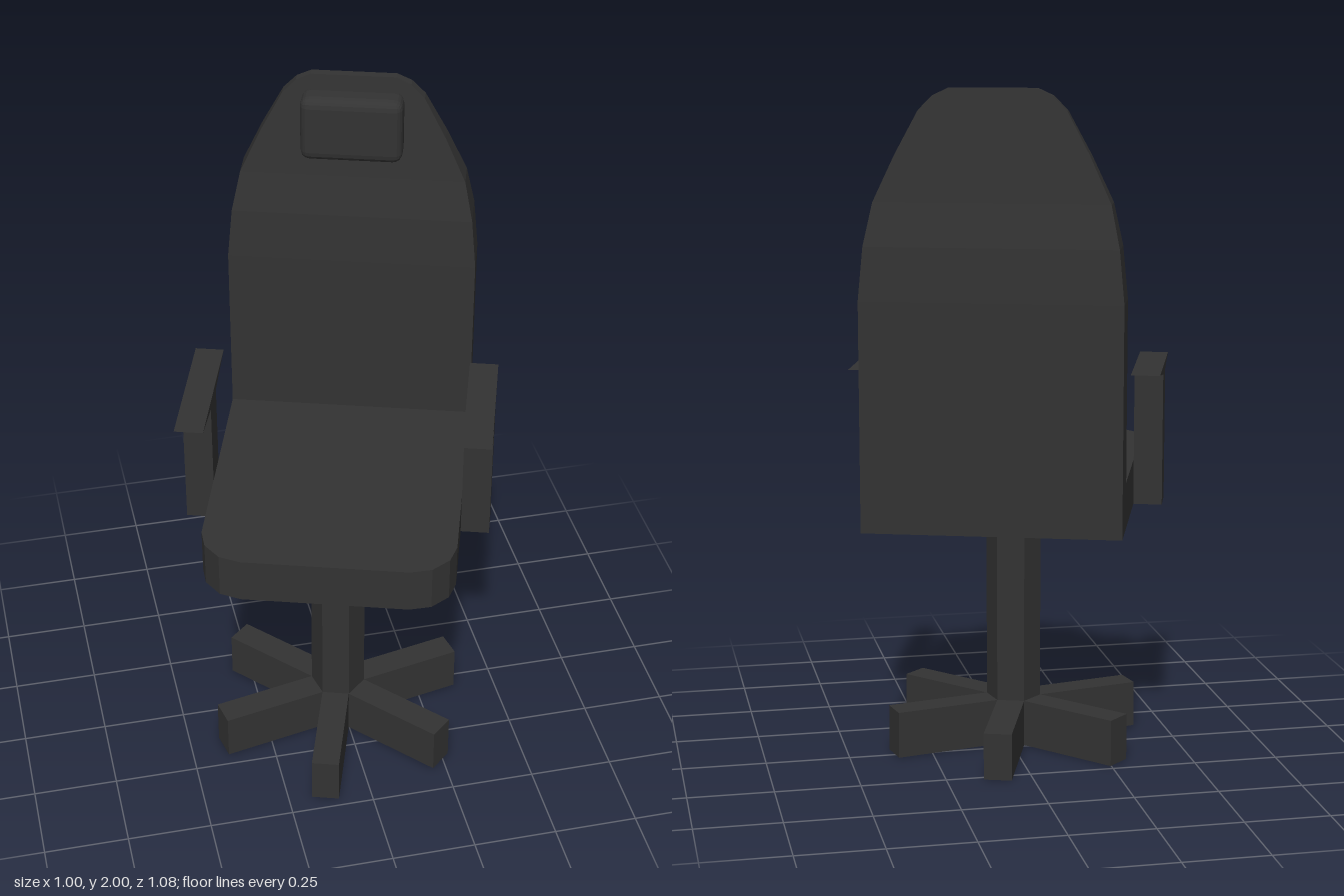
import * as THREE from 'three';
import { RoundedBoxGeometry } from 'three/addons/geometries/RoundedBoxGeometry.js';
import { ConvexGeometry } from 'three/addons/geometries/ConvexGeometry.js';

const HALF = 0.367;        // half width of seat and backrest
const BACK = -0.452;       // rear plane of the backrest
const BACK_FRONT = -0.315; // front plane of the backrest
const POLE_Z = 0.091, POLE_R = 0.082;
const SEAT_LOW = 0.765, SEAT_TOP = 0.9;

// Backrest cross-sections: height, half width, thickness
const BACK_LEVELS = [
  [SEAT_LOW, HALF, 0.137], [1.42, HALF, 0.137], [1.57, 0.353, 0.127],
  [1.69, 0.328, 0.087], [1.82, 0.268, 0.058], [1.94, 0.204, 0.036],
  [1.98, 0.165, 0.03], [2.0, 0.122, 0.026],
];

// Seat outline, one half from the front to the rear
const SEAT_SIDE = [[0.241, 0.484], [0.303, 0.466], [0.35, 0.418], [HALF, 0.358]];

// Skin over stacked rectangles, capped at both ends
function loftLevels(levels, zMid) {
  const rings = levels.map(([y, w, t]) => [
    [-w, y, zMid + t / 2], [w, y, zMid + t / 2], [w, y, zMid - t / 2], [-w, y, zMid - t / 2],
  ]);
  const pos = [];
  const quad = (a, b, c, d) => pos.push(...a, ...b, ...c, ...a, ...c, ...d);
  for (let i = 0; i < rings.length - 1; i++) {
    const lo = rings[i], hi = rings[i + 1];
    for (let j = 0; j < 4; j++) {
      const k = (j + 1) % 4;
      quad(lo[j], lo[k], hi[k], hi[j]);
    }
  }
  const bottom = rings[0], top = rings[rings.length - 1];
  quad(bottom[3], bottom[2], bottom[1], bottom[0]);
  quad(top[0], top[1], top[2], top[3]);
  const geo = new THREE.BufferGeometry();
  geo.setAttribute('position', new THREE.Float32BufferAttribute(pos, 3));
  geo.computeVertexNormals();
  return geo;
}

export function createModel() {
  const model = new THREE.Group();
  model.name = 'officeChair';
  const chair = new THREE.Group();
  chair.name = 'turnedChair';
  chair.rotation.y = THREE.MathUtils.degToRad(-18.2);
  chair.position.set(0.01, 0, 0.003);
  model.add(chair);

  const dark = new THREE.MeshStandardMaterial({ color: 0x333333, flatShading: true });
  const add = (name, geo, parent = chair) => {
    const mesh = new THREE.Mesh(geo, dark);
    mesh.name = name;
    parent.add(mesh);
    return mesh;
  };

  // Seat cushion with clipped front corners
  const rightSide = [...SEAT_SIDE, [HALF, BACK_FRONT]];
  const outline = [...rightSide, ...rightSide.map(([x, z]) => [-x, z]).reverse()];
  const seatShape = new THREE.Shape(outline.map(([x, z]) => new THREE.Vector2(x, -z)));
  const seatGeo = new THREE.ExtrudeGeometry(seatShape, { depth: SEAT_TOP - SEAT_LOW, bevelEnabled: false });
  seatGeo.rotateX(-Math.PI / 2).translate(0, SEAT_LOW, 0);
  add('seat', seatGeo);

  // Shallow tapering underside, from the full outline down to the column
  const under = [];
  for (const s of [1, -1]) {
    for (const [x, z] of [...SEAT_SIDE, [HALF, BACK]]) under.push(new THREE.Vector3(s * x, SEAT_LOW, z));
  }
  for (let i = 0; i < 6; i++) {
    const a = i * Math.PI / 3;
    under.push(new THREE.Vector3(POLE_R * Math.cos(a), 0.72, POLE_Z + POLE_R * Math.sin(a)));
  }
  add('seatUnderside', new ConvexGeometry(under));

  // Backrest narrowing and thinning towards the top
  add('backrest', loftLevels(BACK_LEVELS, (BACK + BACK_FRONT) / 2));

  // Head cushion
  add('headrest', new RoundedBoxGeometry(0.294, 0.195, 0.095, 2, 0.028)).position.set(0, 1.862, -0.33);

  // Armrests: post and thin flared pad in one profile
  const armShape = new THREE.Shape([
    [0.005, SEAT_LOW], [0.109, SEAT_LOW], [0.109, 1.155],
    [0.262, 1.18], [-0.168, 1.18], [0.005, 1.155],
  ].map(([z, y]) => new THREE.Vector2(z, y)));
  for (const [name, x] of [['leftArmrest', 0.451], ['rightArmrest', -HALF]]) {
    const geo = new THREE.ExtrudeGeometry(armShape, { depth: 0.084, bevelEnabled: false });
    add(name, geo.rotateY(-Math.PI / 2).translate(x, 0, 0));
  }

  // Hexagonal column and six-legged foot
  const column = new THREE.CylinderGeometry(POLE_R, POLE_R, 0.73, 6, 1, false, Math.PI / 6);
  add('column', column).position.set(0, 0.365, POLE_Z);
  const foot = new THREE.Group();
  foot.name = 'foot';
  foot.position.z = POLE_Z;
  chair.add(foot);
  for (let i = 0; i < 6; i++) {
    const geo = new THREE.BoxGeometry(0.325, 0.14, POLE_R).translate(0.2275, 0.07, 0);
    add('footLeg', geo, foot).rotation.y = Math.PI / 6 + i * Math.PI / 3;
  }
  return model;
}
